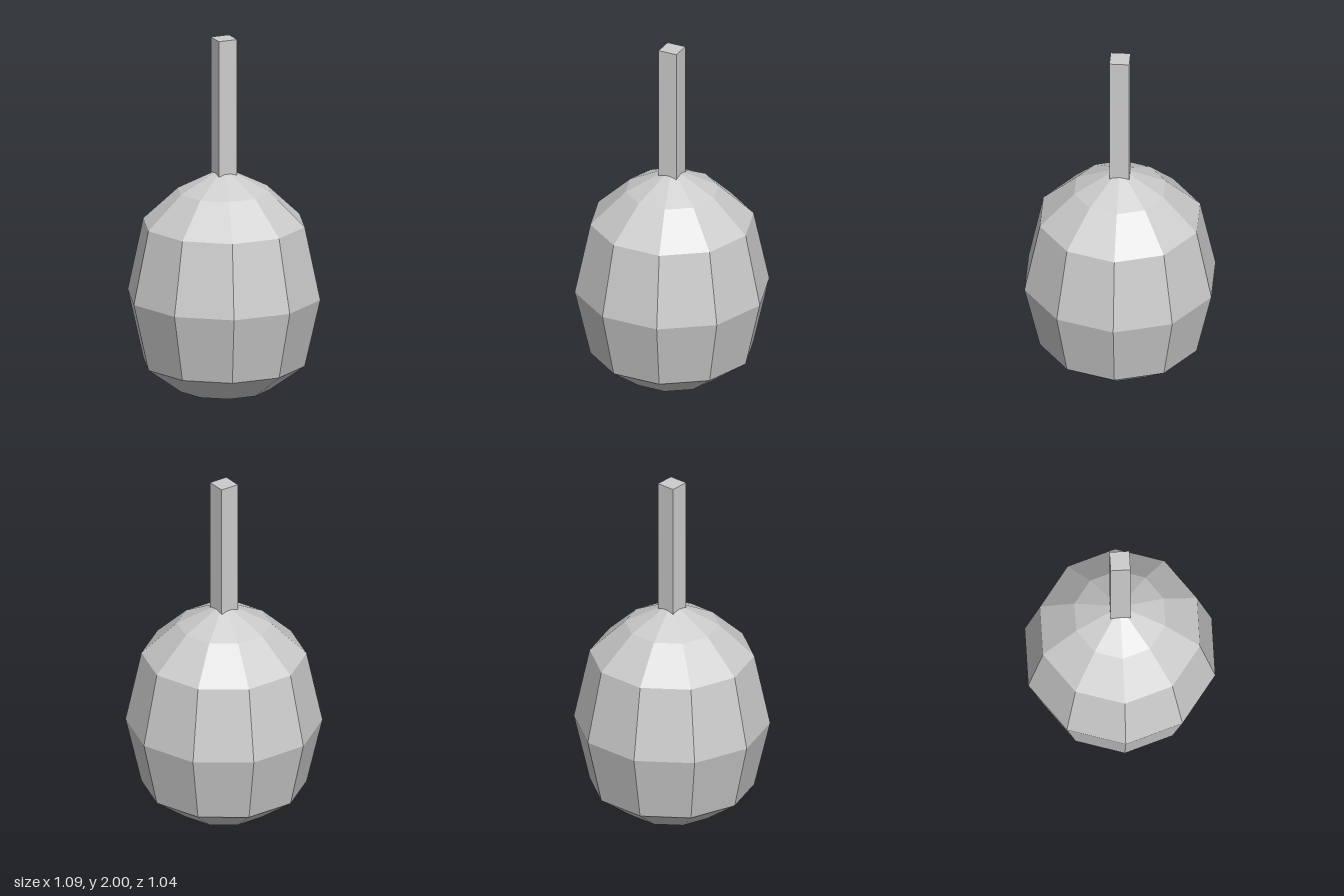
import * as THREE from 'three';

export function createModel() {
  const group = new THREE.Group();
  const grey = new THREE.MeshStandardMaterial({ color: 0xcccccc, flatShading: true });
  grey.name = 'light grey';

  // Ten-sided faceted body, closed by a flat base and a pointed top
  const profile = [[0, 0], [0.26, 0], [0.457, 0.145], [0.545, 0.53], [0.457, 0.943], [0.26, 1.13], [0, 1.263]]
    .map(([r, y]) => new THREE.Vector2(r, y));
  const body = new THREE.Mesh(new THREE.LatheGeometry(profile, 10, Math.PI / 2), grey);
  body.name = 'body';
  group.add(body);

  // Square stem, sunk into the top of the body
  const bottom = 1.2, top = 2;
  const stem = new THREE.Mesh(new THREE.BoxGeometry(0.11, top - bottom, 0.11), grey);
  stem.position.y = (bottom + top) / 2;
  stem.name = 'stem';
  group.add(stem);

  return group;
}
